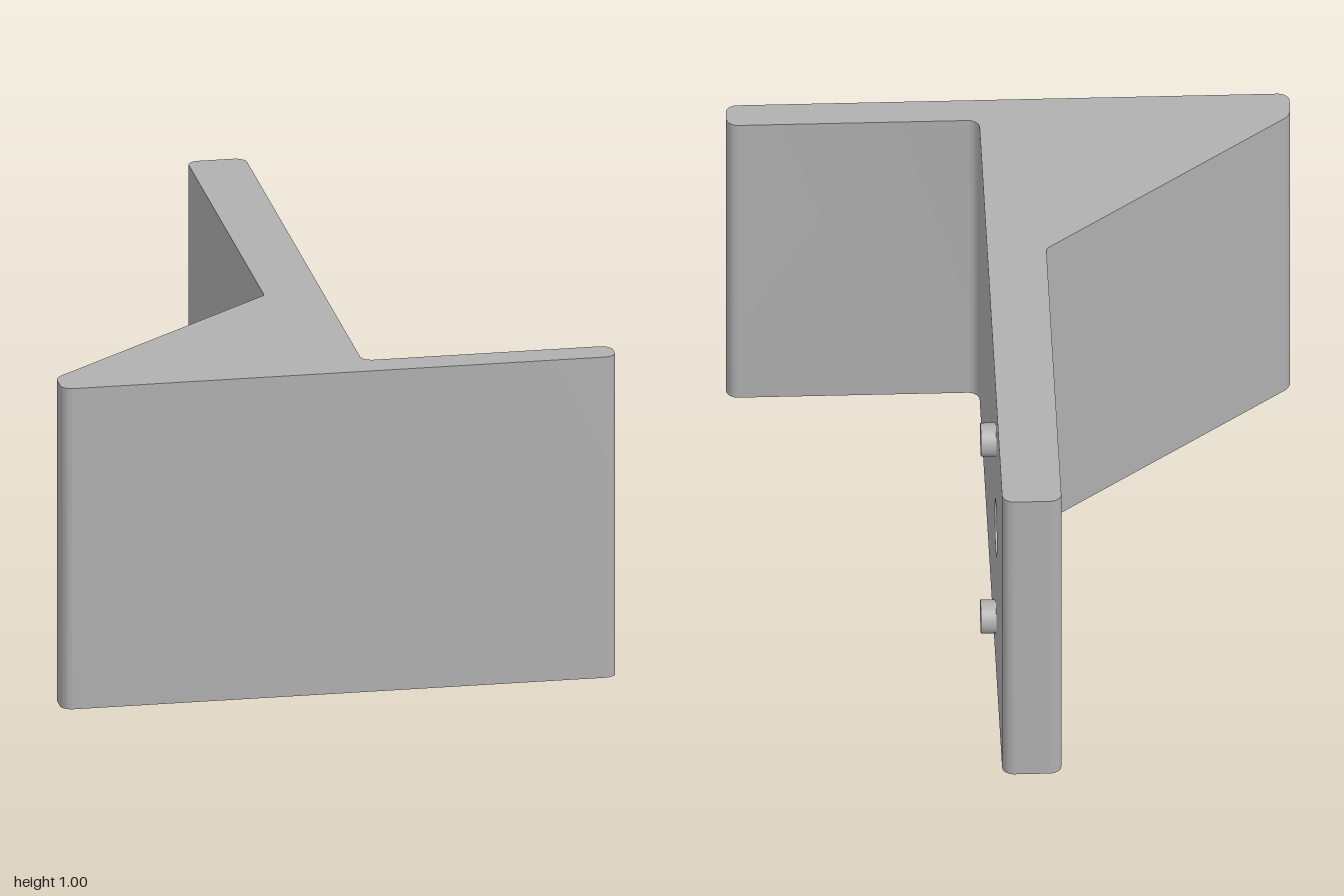
import * as THREE from 'three';
import { toCreasedNormals } from 'three/addons/utils/BufferGeometryUtils.js';

const HEIGHT = 1;
const WEB_LEFT = -0.09, WEB_RIGHT = 0.085;
const HOLE_Z = -0.45, HOLE_Y = 0.5;

// Closed outline from corners [x, z, cut]; each corner is rounded over the length cut.
function roundedOutline(corners) {
  const shape = new THREE.Shape();
  const points = corners.map(([x, z]) => new THREE.Vector2(x, -z));
  const n = points.length;
  points.forEach((p, i) => {
    const cut = corners[i][2] || 0;
    const toward = (q, d) => p.clone().add(q.clone().sub(p).setLength(d));
    const prev = points[(i + n - 1) % n], next = points[(i + 1) % n];
    const a = toward(prev, cut), b = toward(next, cut);
    if (i === 0) shape.moveTo(a.x, a.y); else shape.lineTo(a.x, a.y);
    if (cut) {
      const c = toward(prev, cut * 0.448), d = toward(next, cut * 0.448);
      shape.bezierCurveTo(c.x, c.y, d.x, d.y, b.x, b.y);
    }
  });
  shape.closePath();
  return shape;
}

// Upright prism with a plan outline in x and z
function prism(corners) {
  const geometry = new THREE.ExtrudeGeometry(roundedOutline(corners), {
    depth: HEIGHT, bevelEnabled: false, curveSegments: 10,
  });
  geometry.rotateX(-Math.PI / 2);
  return toCreasedNormals(geometry, 0.5);
}

export function createModel() {
  const group = new THREE.Group();
  group.name = 'bracket';
  const grey = new THREE.MeshStandardMaterial({ color: 0xb0b0b0 });
  grey.name = 'grey';

  const add = (name, geometry) => {
    const mesh = new THREE.Mesh(geometry, grey);
    mesh.name = name;
    group.add(mesh);
    return mesh;
  };

  // Front flange, sloped gusset and the root of the web
  add('flangeAndGusset', prism([
    [WEB_LEFT, 0.2], [WEB_LEFT, 0.255, 0.01],
    [-0.835, 0.892, 0.025], [-0.835, 1, 0.035],
    [0.832, 1, 0.035], [0.832, 0.9, 0.035],
    [WEB_RIGHT, 0.9, 0.035], [WEB_RIGHT, 0.2],
  ]));

  // Rounded rear end of the web
  add('webEnd', prism([
    [WEB_LEFT, -1, 0.035], [WEB_LEFT, -0.9],
    [WEB_RIGHT, -0.9], [WEB_RIGHT, -1, 0.035],
  ]));

  // Middle of the web with the bolt hole through it
  const side = new THREE.Shape();
  side.moveTo(-0.2, 0);
  side.lineTo(0.9, 0);
  side.lineTo(0.9, HEIGHT);
  side.lineTo(-0.2, HEIGHT);
  side.closePath();
  const hole = new THREE.Path();
  hole.absarc(-HOLE_Z, HOLE_Y, 0.0875, 0, Math.PI * 2, true);
  side.holes.push(hole);
  const web = new THREE.ExtrudeGeometry(side, {
    depth: WEB_RIGHT - WEB_LEFT, bevelEnabled: false, curveSegments: 48,
  });
  web.rotateY(Math.PI / 2);
  web.translate(WEB_LEFT, 0, 0);
  add('webWithHole', toCreasedNormals(web, 0.5));

  // Locating pegs above and below the hole
  for (const [name, offset] of [['upperPeg', 0.325], ['lowerPeg', -0.325]]) {
    const peg = new THREE.CylinderGeometry(0.05, 0.05, 0.06, 40);
    peg.rotateZ(-Math.PI / 2);
    add(name, peg).position.set(0.1, HOLE_Y + offset, HOLE_Z);
  }

  return group;
}
